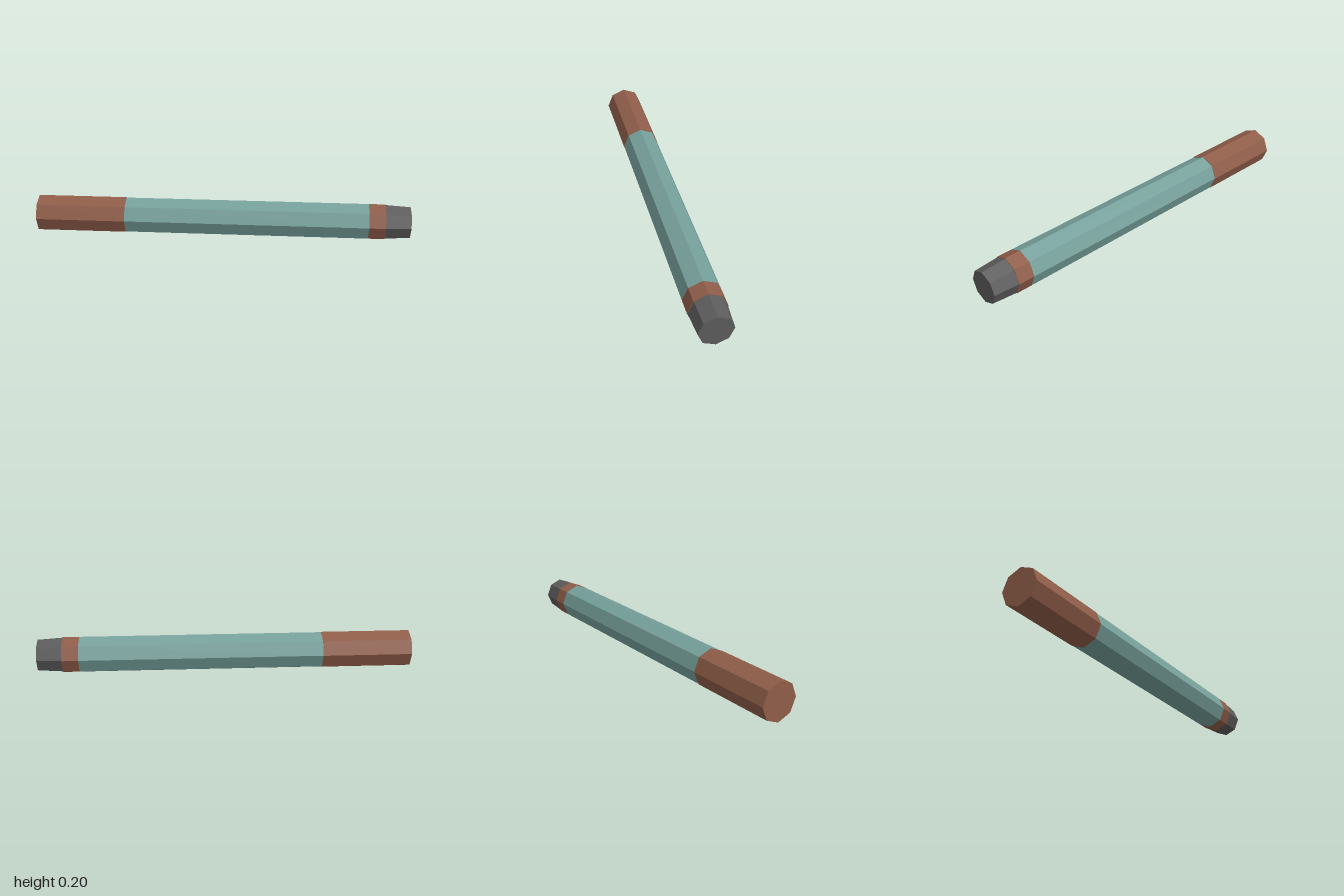
import * as THREE from 'three';

const AXIS_Y = 0.1015;

function material(name, color) {
  const m = new THREE.MeshStandardMaterial({ color, flatShading: true });
  m.name = name;
  return m;
}

export function createModel() {
  const model = new THREE.Group();
  model.name = 'marker';
  const brown = material('brown', 0x8f5d49);
  const teal = material('teal', 0x76a09b);
  const gray = material('dark gray', 0x5c5c5c);

  // Octagonal section along x, from x0 (radius r0) to x1 (radius r1)
  function section(name, x0, x1, r0, r1, mat) {
    const geometry = new THREE.CylinderGeometry(r1, r0, x1 - x0, 8);
    geometry.rotateZ(-Math.PI / 2);
    const mesh = new THREE.Mesh(geometry, mat);
    mesh.name = name;
    mesh.position.set((x0 + x1) / 2, AXIS_Y, 0);
    model.add(mesh);
  }

  section('cap', -1, -0.52, 0.1015, 0.1015, brown);
  section('barrel', -0.52, 0.78, 0.0995, 0.0995, teal);
  section('collar', 0.78, 0.867, 0.0995, 0.0995, brown);
  section('endPlug', 0.867, 1, 0.0965, 0.0875, gray);

  return model;
}
